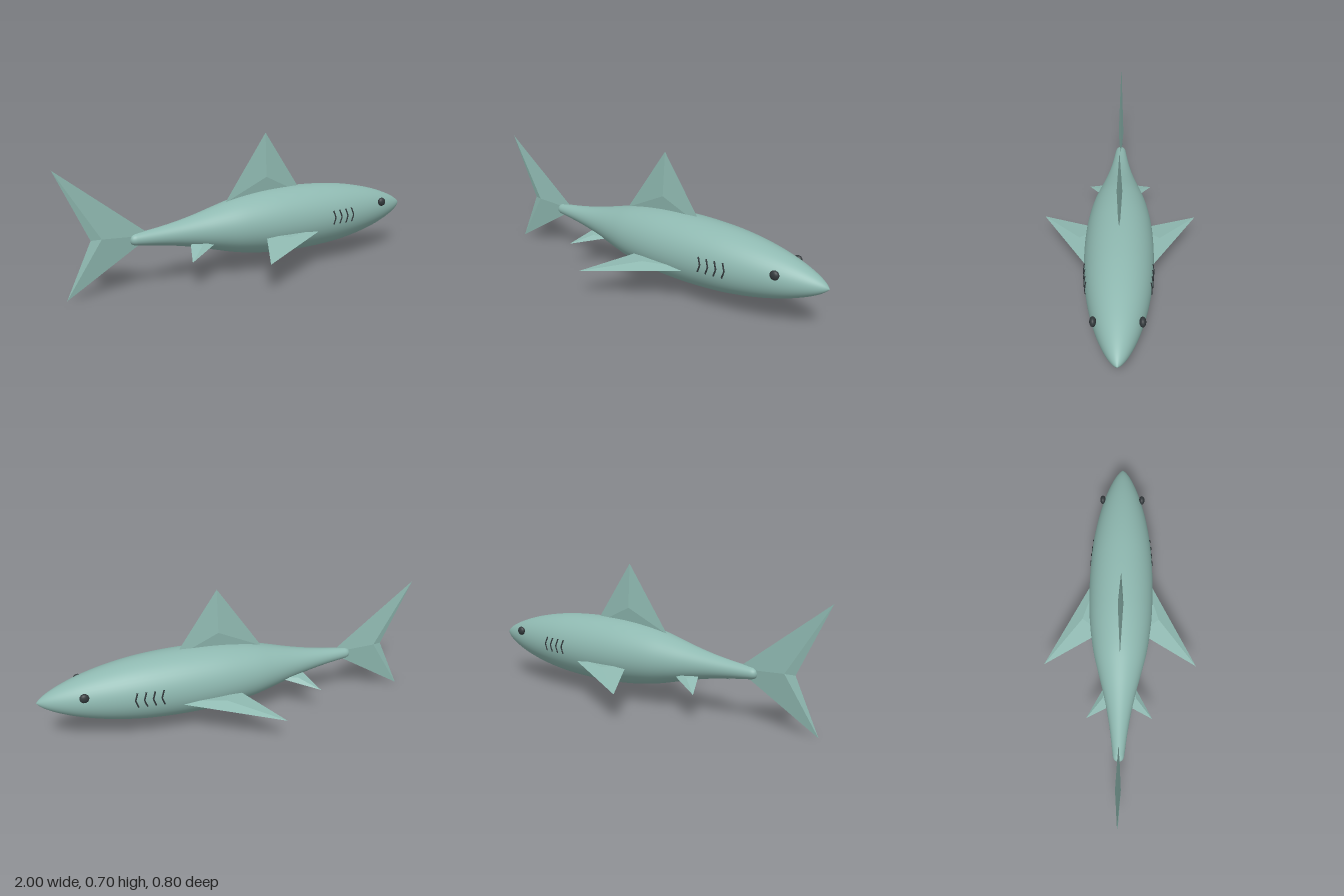
import * as THREE from 'three';

const skin = new THREE.MeshStandardMaterial({ color: 0x8fb9b1 });
skin.name = 'seaGreenSkin';
const finSkin = new THREE.MeshStandardMaterial({ color: 0x8fb9b1, flatShading: true });
finSkin.name = 'seaGreenFin';
const dark = new THREE.MeshStandardMaterial({ color: 0x33393c });
dark.name = 'charcoal';

const AXIS_Y = 0.241;

// Body radius along x, from tail to nose
const PROFILE = [
  [-0.65, 0], [-0.645, 0.016], [-0.63, 0.026], [-0.6, 0.031], [-0.5, 0.044], [-0.4, 0.061],
  [-0.3, 0.083], [-0.2, 0.109], [-0.1, 0.134], [0, 0.151], [0.1, 0.162], [0.2, 0.167],
  [0.3, 0.168], [0.4, 0.165], [0.5, 0.158], [0.6, 0.145], [0.7, 0.126], [0.8, 0.1],
  [0.88, 0.072], [0.94, 0.045], [0.98, 0.02], [1, 0],
];

function radiusAt(x) {
  const i = PROFILE.findIndex((p) => p[0] >= x);
  const [x0, r0] = PROFILE[i - 1], [x1, r1] = PROFILE[i];
  return r0 + ((r1 - r0) * (x - x0)) / (x1 - x0);
}

function addMesh(group, name, geometry, material) {
  const mesh = new THREE.Mesh(geometry, material);
  mesh.name = name;
  group.add(mesh);
  return mesh;
}

// Fin: flat outline raised to a ridge point on both sides
function finGeometry(outline, thickness, peak) {
  const pts = outline.map((p) => new THREE.Vector3(...p));
  const centre = new THREE.Vector3();
  if (peak) centre.set(...peak);
  else pts.forEach((p) => centre.addScaledVector(p, 1 / pts.length));
  const normal = new THREE.Vector3();
  pts.forEach((p, i) => normal.add(p.clone().cross(pts[(i + 1) % pts.length])));
  normal.normalize();
  const a = centre.clone().addScaledVector(normal, thickness);
  const b = centre.clone().addScaledVector(normal, -thickness);
  const tris = [];
  pts.forEach((p, i) => {
    const q = pts[(i + 1) % pts.length];
    tris.push(p, q, a, q, p, b);
  });
  const geometry = new THREE.BufferGeometry().setFromPoints(tris);
  geometry.computeVertexNormals();
  return geometry;
}

export function createModel() {
  const model = new THREE.Group();
  model.name = 'fish';

  // Smooth round body
  const curve = new THREE.SplineCurve(PROFILE.map(([x, r]) => new THREE.Vector2(r, x)));
  const points = curve.getPoints(84).map((p) => new THREE.Vector2(Math.max(p.x, 0), p.y));
  const body = addMesh(model, 'body', new THREE.LatheGeometry(points, 48).rotateZ(-Math.PI / 2), skin);
  body.position.y = AXIS_Y;

  // Fins on the centre line
  addMesh(model, 'dorsalFin',
    finGeometry([[-0.14, 0.362, 0], [0.325, 0.362, 0], [0.095, 0.698, 0]], 0.014), finSkin);
  addMesh(model, 'tailFin',
    finGeometry([[-0.54, 0.252, 0], [-1, 0.602, 0], [-0.838, 0.265, 0], [-0.96, 0, 0]],
      0.014, [-0.79, 0.268, 0]), finSkin);

  for (const side of [1, -1]) {
    const label = side > 0 ? 'left' : 'right';
    const mirror = (pts) => pts.map(([x, y, z]) => [x, y, z * side]);

    // Paired fins
    addMesh(model, label + 'PectoralFin',
      finGeometry(mirror([[0.43, 0.2, 0.1], [0.04, 0.198, 0.1], [-0.125, 0.145, 0.4]]), 0.016), finSkin);
    addMesh(model, label + 'PelvicFin',
      finGeometry(mirror([[-0.185, 0.196, 0.04], [-0.355, 0.196, 0.04], [-0.41, 0.139, 0.17]]), 0.01), finSkin);

    // Eyes
    const eye = addMesh(model, label + 'Eye', new THREE.SphereGeometry(0.023, 20, 14), dark);
    eye.scale.z = 0.65;
    eye.position.set(0.785, 0.284, 0.107 * side);

    // Gill slits: bent strips following the body surface
    for (let i = 0; i < 4; i++) {
      const x = 0.415 + i * 0.042;
      const path = new THREE.CurvePath();
      const slit = [[0, 0.288], [0.013, 0.25], [0, 0.214]].map(([dx, y]) => {
        const r = radiusAt(x + dx) + 0.001;
        return new THREE.Vector3(x + dx, y, side * Math.sqrt(r * r - (y - AXIS_Y) ** 2));
      });
      path.add(new THREE.LineCurve3(slit[0], slit[1]));
      path.add(new THREE.LineCurve3(slit[1], slit[2]));
      addMesh(model, label + 'GillSlit' + (i + 1),
        new THREE.TubeGeometry(path, 8, 0.0042, 6, false), dark);
    }
  }
  return model;
}
